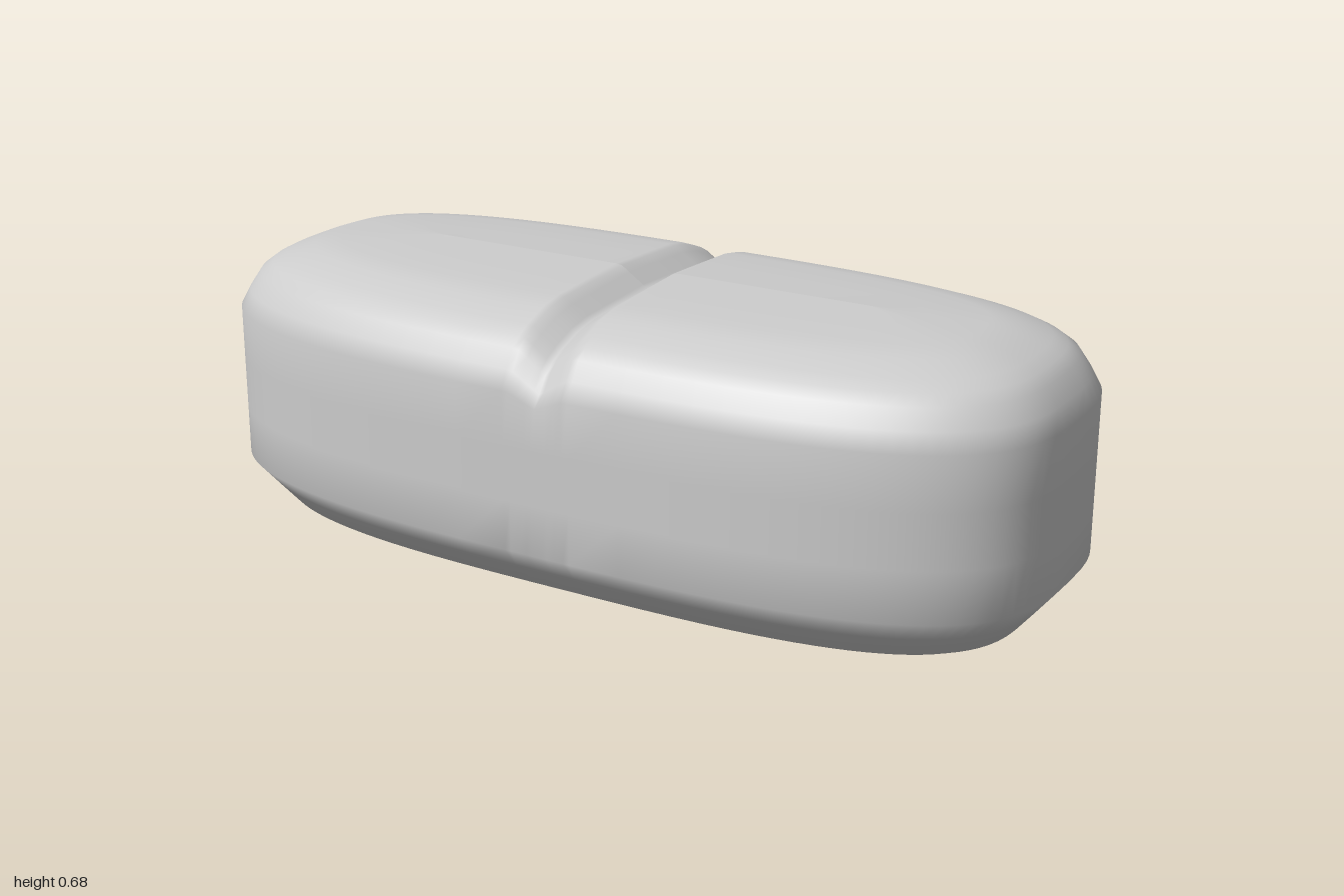
import * as THREE from 'three';

const EXP = 3.05; // roundness of the oval outline
// [inset from the outline, height], from underside to crown
const PROFILE = [
  [0.455, 0.003], [0.34, 0.008], [0.22, 0.015], [0.15, 0.028], [0.125, 0.038], [0.085, 0.06],
  [0.04, 0.115], [0, 0.165], [0, 0.28], [0, 0.4], [0, 0.52], [0.02, 0.56], [0.045, 0.6],
  [0.07, 0.62], [0.1, 0.636], [0.16, 0.658], [0.22, 0.669], [0.34, 0.675], [0.455, 0.68],
];
const GROOVE_X = [0, 0.012, 0.025, 0.045, 0.065, 0.08];
const END_STEPS = 24;

// One quarter of an outline, from the groove line to the end of the tablet
function quarter(a, b) {
  const points = [];
  const add = (x) => points.push([x, b * Math.pow(Math.max(0, 1 - Math.pow(x / a, EXP)), 1 / EXP)]);
  GROOVE_X.forEach(add);
  const start = Math.acos(Math.pow(0.08 / a, EXP / 2));
  for (let i = 1; i <= END_STEPS; i++) {
    const t = start * (1 - i / END_STEPS);
    points.push([a * Math.pow(Math.cos(t), 2 / EXP), b * Math.pow(Math.sin(t), 2 / EXP)]);
  }
  return points;
}

// Full closed loop made by mirroring the quarter
function ring(inset) {
  const q = quarter(1 - inset, 0.452 - Math.min(inset, 0.452));
  const back = [...q].reverse();
  return [
    ...q,
    ...back.slice(1).map(([x, z]) => [x, -z]),
    ...q.slice(1).map(([x, z]) => [-x, -z]),
    ...back.slice(1, -1).map(([x, z]) => [-x, z]),
  ];
}

function tabletGeometry() {
  const positions = [];
  const index = [];
  let count = 0;
  PROFILE.forEach(([inset, height]) => {
    const loop = ring(inset);
    count = loop.length;
    loop.forEach(([x, z]) => {
      // V-shaped score line, fading out down the sides
      const v = Math.max(0, 1 - Math.abs(x) / 0.068);
      const cut = 0.046 * v * THREE.MathUtils.smoothstep(height, 0.42, 0.6);
      // the lower back edge is a slightly flatter bevel
      const bevel = inset === 0.085 ? 0.022 * Math.max(0, -z / 0.37) : 0;
      positions.push(x, height - cut + bevel, z);
    });
  });
  for (let r = 0; r < PROFILE.length - 1; r++) {
    for (let i = 0; i < count; i++) {
      const j = (i + 1) % count;
      const a = r * count + i, b = r * count + j;
      index.push(a, b, b + count, a, b + count, a + count);
    }
  }
  const geometry = new THREE.BufferGeometry();
  geometry.setAttribute('position', new THREE.Float32BufferAttribute(positions, 3));
  geometry.setIndex(index);
  geometry.computeVertexNormals();
  return geometry;
}

export function createModel() {
  const group = new THREE.Group();
  group.name = 'pill';
  const tablet = new THREE.Mesh(tabletGeometry(), new THREE.MeshStandardMaterial({ color: 0xcccccc }));
  tablet.name = 'scoredTablet';
  group.add(tablet);
  return group;
}
